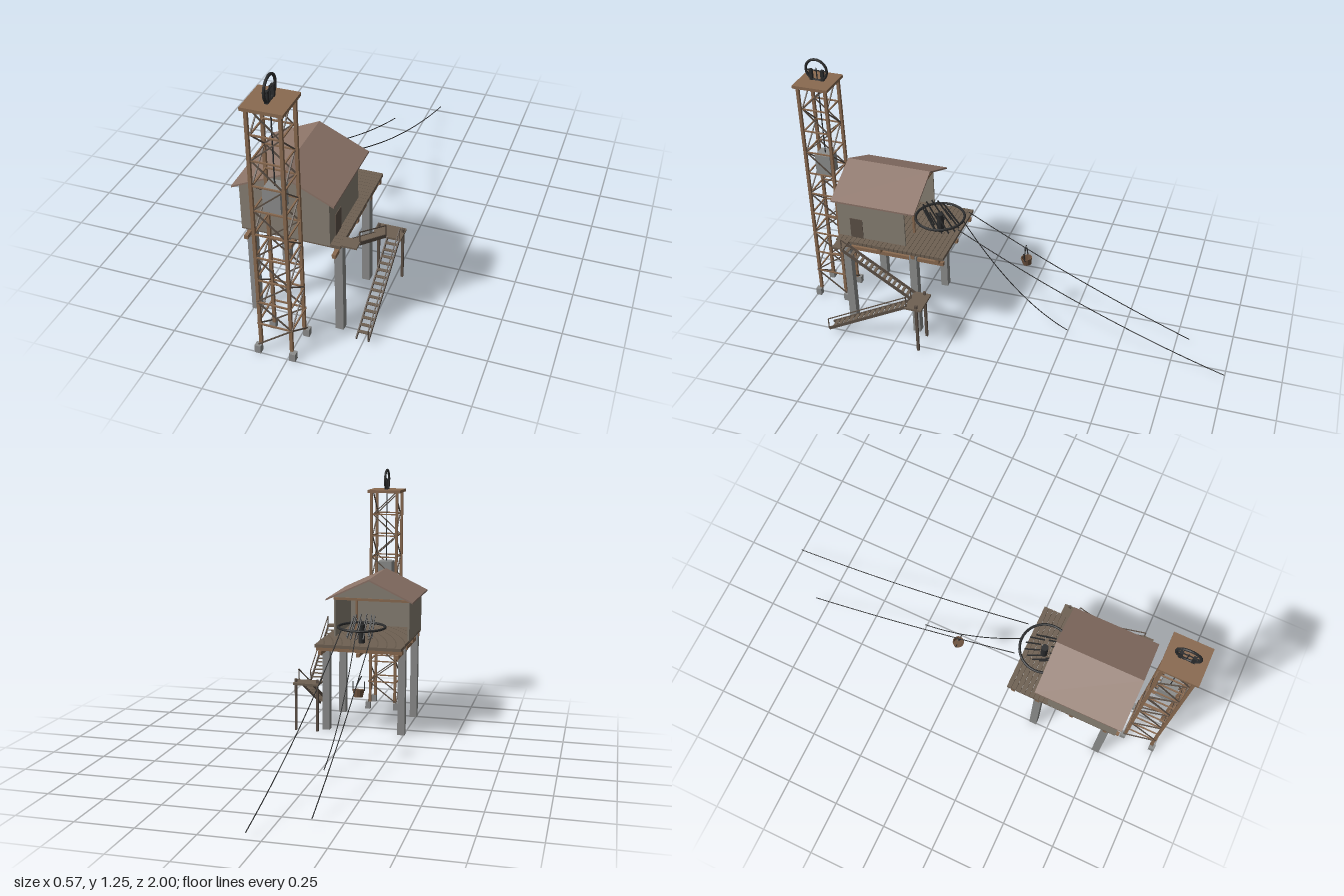
import * as THREE from 'three';

const paint = (color, side = THREE.FrontSide) => new THREE.MeshStandardMaterial({ color, side, flatShading: true });
const V = (x, y, z) => new THREE.Vector3(x, y, z);

export function createModel() {
  const root = new THREE.Group();
  const wood = paint(0x8a6a50), darkWood = paint(0x5c5046), plank = paint(0x6e6052);
  const concrete = paint(0x8c8d8c), wall = paint(0x877f73), roofing = paint(0x8c7468), iron = paint(0x2b2c2d);

  const group = (name, parent = root) => {
    const g = new THREE.Group();
    g.name = name;
    parent.add(g);
    return g;
  };
  const add = (parent, name, geo, mat) => {
    const m = new THREE.Mesh(geo, mat);
    m.name = name;
    parent.add(m);
    return m;
  };
  // Box given by its two extreme corners
  const block = (parent, name, mat, x0, x1, y0, y1, z0, z1) => {
    const m = add(parent, name, new THREE.BoxGeometry(x1 - x0, y1 - y0, z1 - z0), mat);
    m.position.set((x0 + x1) / 2, (y0 + y1) / 2, (z0 + z1) / 2);
    return m;
  };
  // Square bar between two points
  const bar = (parent, name, mat, a, b, w, h = w) => {
    const m = add(parent, name, new THREE.BoxGeometry(w, h, a.distanceTo(b)), mat);
    m.position.copy(a).add(b).multiplyScalar(0.5);
    if (Math.abs(b.y - a.y) > 0.999 * a.distanceTo(b)) m.rotation.x = Math.PI / 2;
    else m.lookAt(b);
    return m;
  };
  const tube = (parent, name, mat, a, mid, b, r) =>
    add(parent, name, new THREE.TubeGeometry(new THREE.QuadraticBezierCurve3(a, mid, b), 32, r, 5), mat);
  const extrude = (parent, name, mat, points, z0, z1) => {
    const shape = new THREE.Shape(points.map(p => new THREE.Vector2(p[0], p[1])));
    const m = add(parent, name, new THREE.ExtrudeGeometry(shape, { depth: z1 - z0, bevelEnabled: false }), mat);
    m.position.z = z0;
    return m;
  };

  // Lattice tower: four leaning legs, ten braced bays
  const tower = group('tower');
  const cx = -0.052, cz = 0.917, y0 = 0.036, yTop = 1.128, bays = 10;
  const corner = (sx, sz, i) => {
    const t = i / bays;
    return V(cx + sx * (0.074 - 0.017 * t), y0 + (yTop - y0) * t, cz + sz * (0.074 - 0.017 * t));
  };
  for (const sx of [-1, 1]) for (const sz of [-1, 1]) {
    const foot = corner(sx, sz, 0);
    block(tower, 'towerFooting', concrete, foot.x - 0.013, foot.x + 0.013, 0, 0.036, foot.z - 0.013, foot.z + 0.013);
    bar(tower, 'towerLeg', wood, foot, corner(sx, sz, bays), 0.013);
  }
  for (let i = 0; i < bays; i++) {
    const d = i % 2 ? 1 : -1;
    for (const s of [-1, 1]) {
      bar(tower, 'diagonalBrace', darkWood, corner(d, s, i), corner(-d, s, i + 1), 0.005);
      bar(tower, 'diagonalBrace', darkWood, corner(s, d, i), corner(s, -d, i + 1), 0.005);
      if (i) {
        bar(tower, 'crossBrace', wood, corner(-1, s, i), corner(1, s, i), 0.006);
        bar(tower, 'crossBrace', wood, corner(s, -1, i), corner(s, 1, i), 0.006);
      }
    }
  }
  block(tower, 'towerPlatform', wood, cx - 0.083, cx + 0.083, yTop, 1.142, cz - 0.083, cz + 0.083);

  // Pulley, rope and hanging counterweight
  const pulley = group('pulley', tower);
  const rim = add(pulley, 'pulleyRim', new THREE.TorusGeometry(0.05, 0.006, 8, 32), iron);
  rim.position.set(cx, 1.19, cz);
  rim.rotation.y = Math.PI / 2;
  for (const s of [-1, 1])
    block(pulley, 'pulleyBracket', iron, cx - 0.007, cx + 0.007, 1.142, 1.192, cz + s * 0.027 - 0.007, cz + s * 0.027 + 0.007);
  bar(pulley, 'pulleyAxle', iron, V(cx, 1.188, cz - 0.046), V(cx, 1.188, cz + 0.046), 0.004);
  bar(tower, 'weightRope', iron, V(cx, 0.77, cz), V(cx, 1.2, cz), 0.004);
  block(tower, 'counterweight', concrete, cx - 0.036, cx + 0.036, 0.675, 0.775, cz - 0.037, cz + 0.037);

  // Raised deck on concrete posts
  const deck = group('deck');
  for (const x of [-0.2375, 0.1345]) for (const z of [0.4275, 0.7525])
    block(deck, 'concretePost', concrete, x - 0.0175, x + 0.0175, 0, 0.432, z - 0.0175, z + 0.0175);
  for (const x of [-0.238, -0.052, 0.133])
    block(deck, 'longBeam', wood, x - 0.008, x + 0.008, 0.402, 0.42, 0.285, 0.815);
  for (const z of [0.31, 0.4275, 0.59, 0.7525])
    block(deck, 'crossBeam', wood, -0.26, 0.155, 0.42, 0.44, z - 0.009, z + 0.009);
  const boards = 24, pitch = 0.52 / boards;
  for (let i = 0; i < boards; i++)
    block(deck, 'deckBoard', plank, -0.26, 0.155, 0.44, 0.455, 0.28 + i * pitch, 0.28 + (i + 1) * pitch - 0.0015);

  // House: open towards the wheel, gabled at both ends
  const house = group('house');
  const hx0 = -0.26, hx1 = 0.113, mid = -0.0735, t = 0.008;
  block(house, 'rightWall', wall, hx0, hx0 + t, 0.447, 0.648, 0.475, 0.8);
  block(house, 'leftWall', wall, hx1 - t, hx1, 0.447, 0.648, 0.475, 0.8);
  const gable = [[hx0, 0.645], [hx1, 0.645], [hx1, 0.653], [mid, 0.742], [hx0, 0.653]];
  extrude(house, 'frontWall', wall, [[hx0, 0.447], [hx1, 0.447], ...gable.slice(2)], 0.792, 0.8);
  extrude(house, 'backGable', wall, gable, 0.475, 0.483);
  block(house, 'backLintel', wood, hx0, hx1, 0.638, 0.65, 0.47, 0.484);
  block(house, 'backPost', wood, -0.005, 0.005, 0.455, 0.64, 0.472, 0.482);
  block(house, 'door', darkWood, hx1, hx1 + 0.003, 0.455, 0.555, 0.68, 0.74);
  extrude(house, 'roof', roofing, [[-0.286, 0.642], [mid, 0.743], [0.138, 0.642], [0.138, 0.65], [mid, 0.751], [-0.286, 0.65]], 0.415, 0.815);

  // Horizontal cable wheel
  const wheel = group('cableWheel');
  wheel.position.set(-0.052, 0.532, 0.367);
  add(wheel, 'wheelRim', new THREE.TorusGeometry(0.112, 0.006, 8, 40), iron).rotation.x = Math.PI / 2;
  for (let i = 0; i < 12; i++) {
    const a = i * Math.PI / 6;
    bar(wheel, 'spoke', iron, V(0, 0, 0), V(0.112 * Math.cos(a), 0, 0.112 * Math.sin(a)), 0.005);
  }
  add(wheel, 'wheelHub', new THREE.CylinderGeometry(0.016, 0.016, 0.092, 12), iron).position.y = -0.033;

  // Sagging cables down to the ground
  const cables = group('cables');
  const hang = (xa, xb, zb, sag) => tube(cables, 'cable', iron, V(xa, 0.53, 0.255),
    V((xa + xb) / 2, 0.278 - 2 * sag, (0.255 + zb) / 2), V(xb, 0.027, zb), 0.0022);
  hang(0.022, 0.06, -1, 0.04);
  hang(-0.128, -0.138, -0.81, 0.022);
  hang(-0.052, -0.034, -0.255, 0.07);

  // Tilted bucket on its bail
  const bucket = group('bucket');
  bucket.position.set(-0.13, 0.315, -0.025);
  bucket.rotation.x = 0.15;
  const tub = [[0, -0.018], [0.02, -0.018], [0.027, 0.016], [0.023, 0.016], [0.018, -0.013], [0, -0.013]];
  add(bucket, 'tub', new THREE.LatheGeometry(tub.map(p => new THREE.Vector2(...p)), 12), paint(0x6f5440, THREE.DoubleSide));
  for (const s of [-1, 1]) bar(bucket, 'bailSide', iron, V(s * 0.026, 0.01, 0), V(s * 0.026, 0.052, 0), 0.004);
  bar(bucket, 'bailTop', iron, V(-0.028, 0.052, 0), V(0.028, 0.052, 0), 0.004);
  bar(bucket, 'hanger', iron, V(0, 0.052, 0), V(0, 0.068, 0), 0.004);

  // Two stair flights with a landing between
  const stairs = group('stairs');
  const flight = (name, x0, x1, za, ya, zb, yb, railX) => {
    const g = group(name, stairs), n = 15;
    for (const x of [x0, x1]) bar(g, 'stringer', darkWood, V(x, ya, za), V(x, yb, zb), 0.005, 0.014);
    for (let i = 1; i < n; i++) {
      const k = i / n, y = ya + (yb - ya) * k, z = za + (zb - za) * k;
      block(g, 'tread', plank, x0, x1, y, y + 0.004, z - 0.007, z + 0.007);
    }
    bar(g, 'handrail', darkWood, V(railX, ya + 0.055, za), V(railX, yb + 0.055, zb), 0.004);
    for (const [z, y] of [[za, ya], [zb, yb]])
      bar(g, 'railPost', darkWood, V(railX, y, z), V(railX, y + 0.055, z), 0.004);
  };
  flight('upperFlight', 0.165, 0.215, 0.745, 0.445, 0.42, 0.24, 0.215);
  flight('lowerFlight', 0.224, 0.276, 0.82, 0.02, 0.42, 0.24, 0.276);
  block(stairs, 'landing', plank, 0.157, 0.284, 0.232, 0.242, 0.345, 0.425);
  for (const x of [0.168, 0.276])
    block(stairs, 'landingPost', darkWood, x - 0.005, x + 0.005, 0, 0.258, 0.366, 0.378);
  block(stairs, 'doorStep', plank, 0.15, 0.218, 0.447, 0.455, 0.735, 0.79);

  return root;
}
